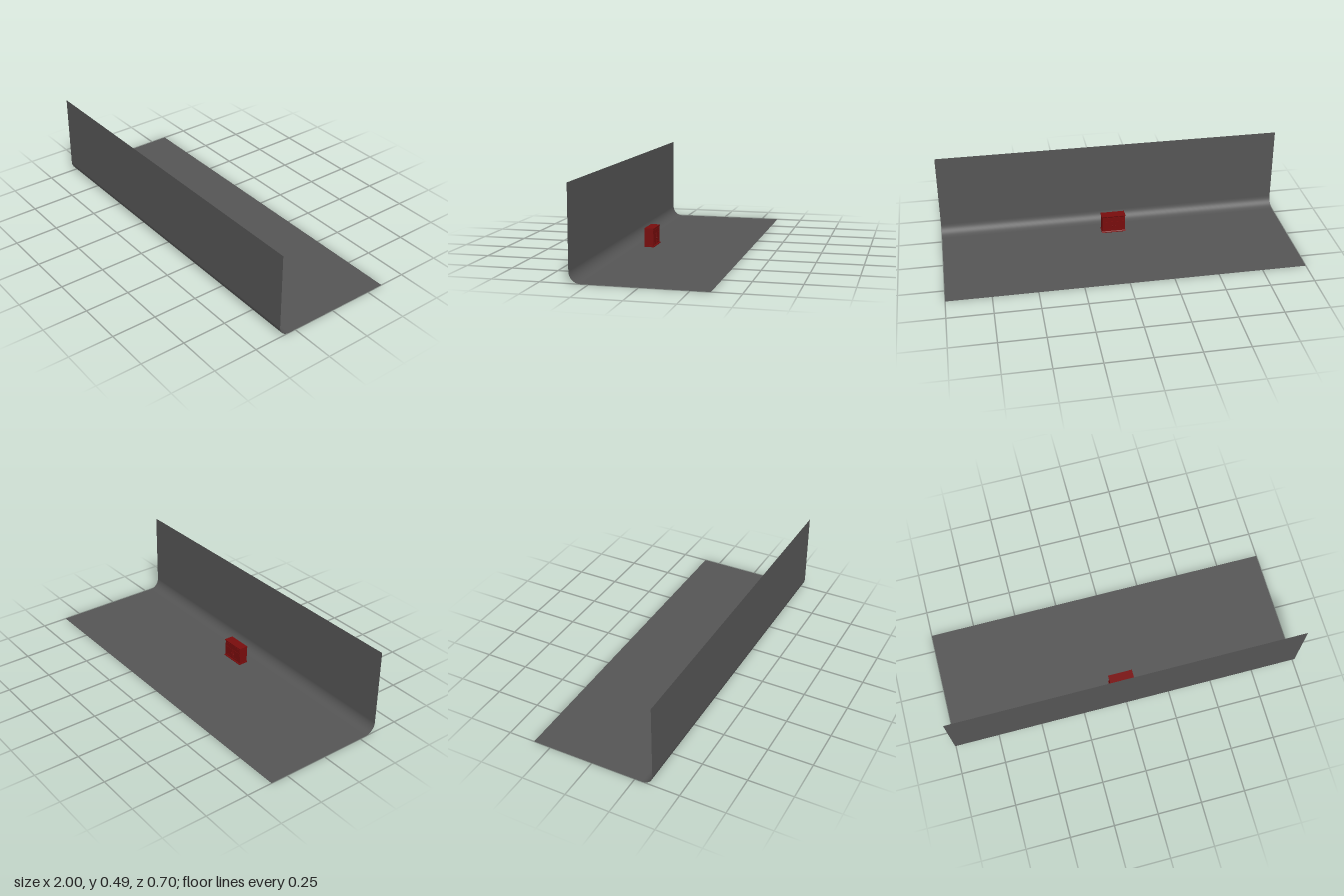
import * as THREE from 'three';

const W = 2, D = 0.35, H = 0.49, R = 0.06;

function mesh(name, geometry, material, x = 0, y = 0, z = 0) {
  const m = new THREE.Mesh(geometry, material);
  m.name = name;
  m.position.set(x, y, z);
  return m;
}

// Floor, rounded corner and wall as one thin bent sheet with smooth normals
function sheetGeometry() {
  const arc = 14;
  const rows = [[-D, 0, 0]]; // z, y, angle of the surface
  for (let i = 0; i <= arc; i++) {
    const a = (i / arc) * Math.PI / 2;
    rows.push([D - R + R * Math.sin(a), R - R * Math.cos(a), a]);
  }
  rows.push([D, H, Math.PI / 2]);
  const g = new THREE.PlaneGeometry(W, 1, 1, rows.length - 1);
  const p = g.attributes.position, n = g.attributes.normal;
  for (let i = 0; i < p.count; i++) {
    const [z, y, a] = rows[Math.floor(i / 2)];
    p.setXYZ(i, p.getX(i), y, z);
    n.setXYZ(i, 0, Math.cos(a), -Math.sin(a));
  }
  return g;
}

// Bar across the cabinet front with a side profile given as [z, y] points
function moulding(points, width) {
  const shape = new THREE.Shape(points.map(([z, y]) => new THREE.Vector2(-z, y)));
  const g = new THREE.ExtrudeGeometry(shape, { depth: width, bevelEnabled: false });
  g.translate(0, 0, -width / 2);
  return g.rotateY(Math.PI / 2);
}

function createCabinet() {
  const red = new THREE.MeshStandardMaterial({ color: 0x780c0c });
  const cabinet = new THREE.Group();
  cabinet.name = 'cabinet';
  const front = 0.191, back = 0.242, width = 0.134;

  cabinet.add(mesh('cabinetBody', new THREE.BoxGeometry(width, 0.094, back - front), red,
    0, 0.054, (front + back) / 2));

  // Flared top and stepped foot, both projecting over the door side
  cabinet.add(mesh('cabinetTop', moulding(
    [[back, 0.1], [back, 0.107], [0.187, 0.107], [0.187, 0.105], [front, 0.1]], 0.14), red));
  cabinet.add(mesh('cabinetBase', moulding(
    [[back, 0], [back, 0.008], [front, 0.008], [0.186, 0.004], [0.186, 0]], 0.14), red));

  // A door with raised frame and a drawer above it on each side
  for (const s of [-1, 1]) {
    const x = s * 0.032;
    const frame = new THREE.Shape([[-0.029, -0.029], [0.029, -0.029], [0.029, 0.029], [-0.029, 0.029]]
      .map(([a, b]) => new THREE.Vector2(a, b)));
    frame.holes.push(new THREE.Path([[-0.021, -0.021], [-0.021, 0.021], [0.021, 0.021], [0.021, -0.021]]
      .map(([a, b]) => new THREE.Vector2(a, b))));
    cabinet.add(mesh('doorFrame',
      new THREE.ExtrudeGeometry(frame, { depth: 0.003, bevelEnabled: false }), red, x, 0.041, front - 0.002));
    cabinet.add(mesh('drawerFront', new THREE.BoxGeometry(0.058, 0.02, 0.002), red, x, 0.086, front - 0.0005));
    cabinet.add(mesh('doorKnob', new THREE.SphereGeometry(0.003, 12, 8), red, s * 0.008, 0.043, front - 0.003));
  }
  return cabinet;
}

export function createModel() {
  const model = new THREE.Group();
  const grey = new THREE.MeshStandardMaterial({ color: 0x555555, side: THREE.DoubleSide });
  model.add(mesh('backdropSheet', sheetGeometry(), grey));
  model.add(createCabinet());
  return model;
}
